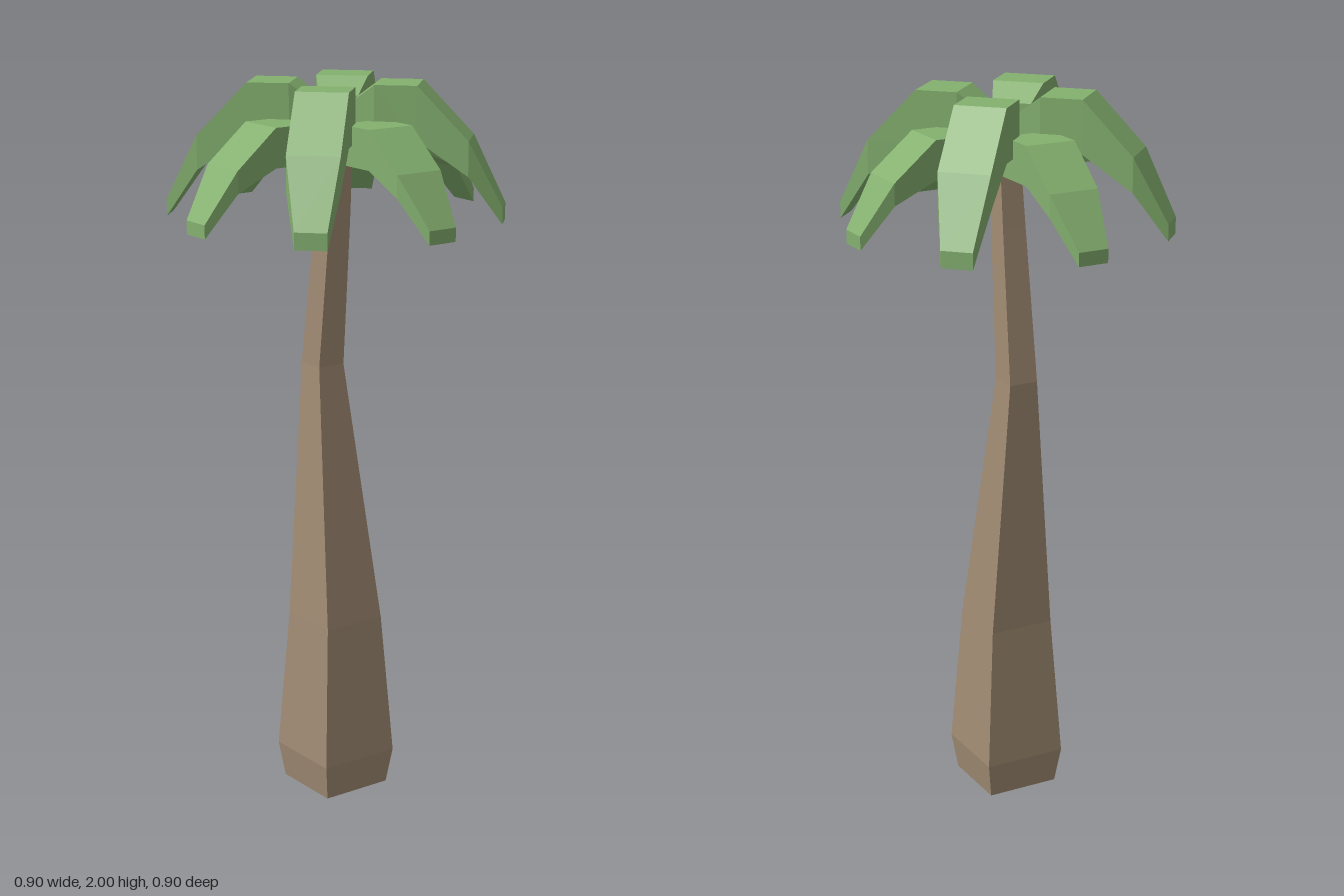
import * as THREE from 'three';

// Skin between four-cornered rings (counter-clockwise seen from the end of the path)
function loft(rings, capped) {
  const index = [];
  for (let k = 0; k < rings.length - 1; k++) {
    for (let i = 0; i < 4; i++) {
      const j = (i + 1) % 4;
      const a = k * 4 + i, b = k * 4 + j;
      index.push(a, b, b + 4, a, b + 4, a + 4);
    }
  }
  if (capped) {
    const e = (rings.length - 1) * 4;
    index.push(0, 2, 1, 0, 3, 2, e, e + 1, e + 2, e, e + 2, e + 3);
  }
  const indexed = new THREE.BufferGeometry();
  indexed.setAttribute('position', new THREE.Float32BufferAttribute(rings.flat(2), 3));
  indexed.setIndex(index);
  const geometry = indexed.toNonIndexed();
  geometry.computeVertexNormals();
  return geometry;
}

// Frond pointing along +z; each section is [distance, left x, right x, bottom y, top y]
function frondGeometry(sections) {
  return loft(sections.map(([z, l, r, b, t]) => [[l, b, z], [r, b, z], [r, t, z], [l, t, z]]), true);
}

export function createModel() {
  const bark = new THREE.MeshStandardMaterial({ color: 0xa18c74, flatShading: true, side: THREE.DoubleSide });
  bark.name = 'bark brown';
  const leaf = new THREE.MeshStandardMaterial({ color: 0x84b06f, flatShading: true, side: THREE.DoubleSide });
  leaf.name = 'leaf green';

  const palm = new THREE.Group();
  palm.name = 'palmTree';
  const add = (name, geometry, material) => {
    const mesh = new THREE.Mesh(geometry, material);
    mesh.name = name;
    palm.add(mesh);
    return mesh;
  };

  // Bent square trunk, open underneath: [height, half width, z of the centre]
  const trunk = [
    [0, 0.103, 0], [0.1, 0.117, 0], [0.5, 0.092, -0.002],
    [1.22, 0.041, -0.06], [1.64, 0.034, -0.013], [1.85, 0.03, 0.008],
  ].map(([y, h, z]) => [[-h, y, z + h], [h, y, z + h], [h, y, z - h], [-h, y, z - h]]);
  add('trunk', loft(trunk, false), bark);

  // Two tiers of four fronds, the upper tier on the diagonals
  const upper = frondGeometry([
    [0.053, -0.053, 0.053, 1.87, 1.955],
    [0.113, -0.07, 0.07, 1.857, 2],
    [0.226, -0.07, 0.07, 1.857, 2],
    [0.362, -0.07, 0.07, 1.765, 1.858],
    [0.451, -0.035, 0.05, 1.635, 1.68],
  ]);
  const lower = frondGeometry([
    [0.053, -0.053, 0.053, 1.83, 1.86],
    [0.113, -0.07, 0.07, 1.8, 1.905],
    [0.24, -0.07, 0.07, 1.8, 1.905],
    [0.36, -0.07, 0.07, 1.745, 1.805],
    [0.45, -0.035, 0.05, 1.635, 1.672],
  ]);
  for (let i = 0; i < 8; i++) {
    const isUpper = i % 2 === 1;
    const frond = add(isUpper ? 'upperFrond' : 'lowerFrond', isUpper ? upper : lower, leaf);
    frond.rotation.y = (i * Math.PI) / 4;
  }

  // Crown heart closing the gap between the frond roots
  const heart = add('crownHeart', new THREE.BoxGeometry(0.106, 0.04, 0.106), leaf);
  heart.position.y = 1.86;
  heart.rotation.y = Math.PI / 4;

  return palm;
}
